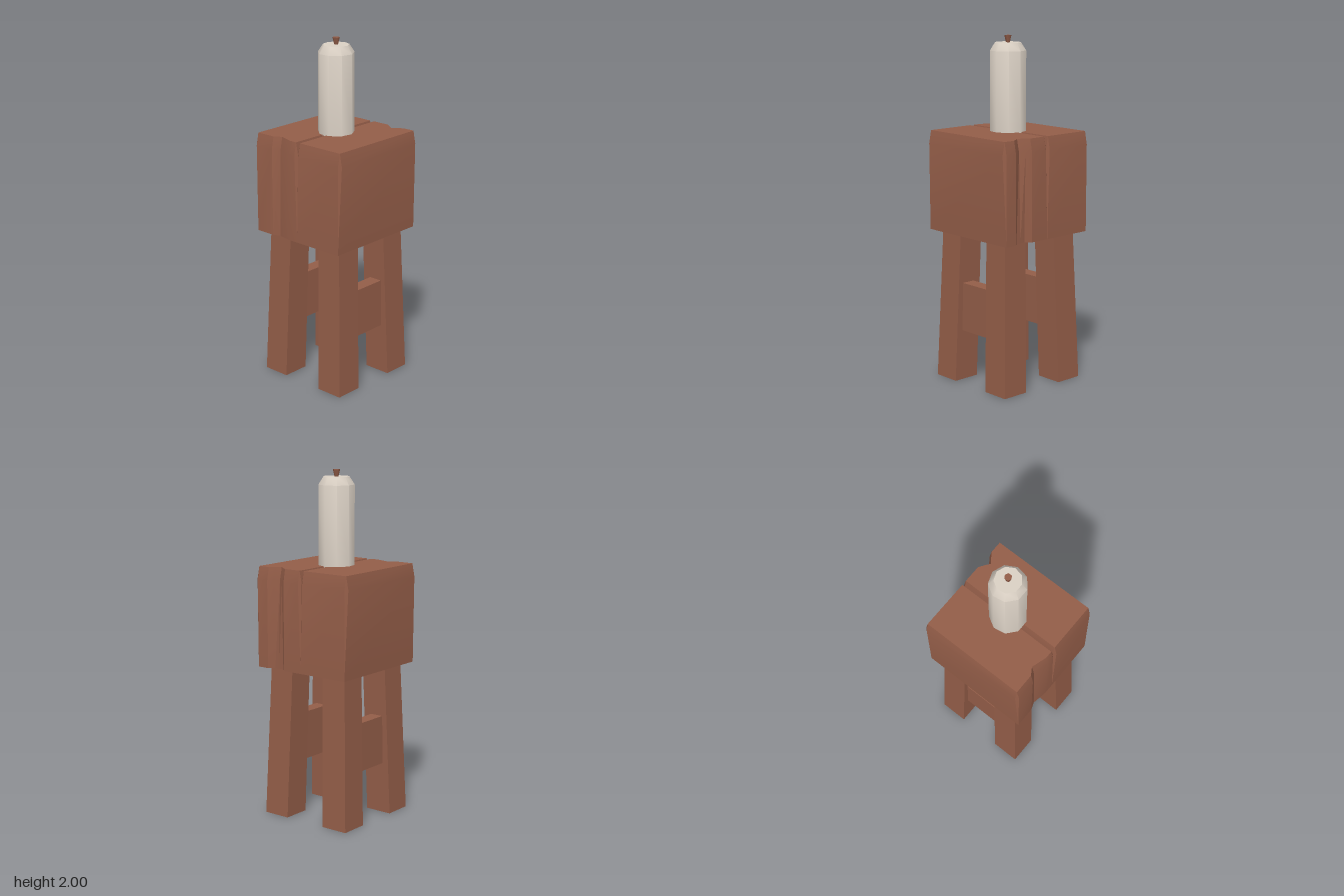
import * as THREE from 'three';
import { toCreasedNormals } from 'three/addons/utils/BufferGeometryUtils.js';

const wood = new THREE.MeshStandardMaterial({ color: 0x935d48 });
wood.name = 'brown wood';
const wax = new THREE.MeshStandardMaterial({ color: 0xdad0c4 });
wax.name = 'cream wax';

function part(name, geometry, material) {
  const mesh = new THREE.Mesh(geometry, material);
  mesh.name = name;
  return mesh;
}

// Solid through stacked rings of [x, z] points, closed at both ends
function loft(rings, heights) {
  const n = rings[0].length;
  const positions = rings.flatMap((ring, r) => ring.flatMap(([x, z]) => [x, heights[r], z]));
  const index = [];
  for (let r = 0; r < rings.length - 1; r++) {
    for (let i = 0; i < n; i++) {
      const a = r * n + i, b = r * n + (i + 1) % n;
      index.push(a, b, b + n, a, b + n, a + n);
    }
  }
  [0, rings.length - 1].forEach((r) => {
    const ring = rings[r];
    const outline = ring.map(([x, z]) => new THREE.Vector2(x, z));
    for (const [a, b, c] of THREE.ShapeUtils.triangulateShape(outline, [])) {
      const up = (ring[b][1] - ring[a][1]) * (ring[c][0] - ring[a][0])
        - (ring[b][0] - ring[a][0]) * (ring[c][1] - ring[a][1]) > 0;
      const o = r * n;
      if (up === (r > 0)) index.push(o + a, o + b, o + c);
      else index.push(o + a, o + c, o + b);
    }
  });
  const g = new THREE.BufferGeometry();
  g.setAttribute('position', new THREE.Float32BufferAttribute(positions, 3));
  g.setIndex(index);
  return toCreasedNormals(g, 0.45);
}

// Half of the seat block: chamfered top, tapering corner cuts, a chip in the front edge.
// Each notch row lists x and the z at the bottom, shoulder and top.
function blockHalf(name, notch) {
  const W = 0.325, C = 0.015;
  const ring = (level) => {
    const mid = level === 1, top = level === 2;
    const left = mid ? -W : -W + C;          // outer side
    const right = top ? -C : 0;              // side facing the split
    const z = top ? W - C : W;
    const cut = mid ? C : 0;
    return [
      [left, z - cut], [left + cut, z],
      ...notch.map((p) => [p[0], p[1 + level]]),
      [right - cut, z], [right, z - cut],
      [right, -z + cut], [right - cut, -z],
      [left + cut, -z], [left, -z + cut],
    ];
  };
  return part(name, loft([ring(0), ring(1), ring(2)], [0.88, 1.385, 1.46]), wood);
}

// Box leg leaning inward towards the top
function leg(sx, sz) {
  const g = new THREE.BoxGeometry(1, 1, 1);
  const p = g.attributes.position;
  for (let i = 0; i < p.count; i++) {
    const top = p.getY(i) > 0;
    const centre = top ? 0.187 : 0.212, size = top ? 0.155 : 0.164;
    p.setXYZ(i, sx * centre + p.getX(i) * size, top ? 0.885 : 0, sz * centre + p.getZ(i) * size);
  }
  g.computeVertexNormals();
  return part((sz > 0 ? 'front' : 'back') + (sx > 0 ? 'Left' : 'Right') + 'Leg', g, wood);
}

export function createModel() {
  const model = new THREE.Group();
  model.name = 'candleStool';

  // Split seat block; the second half is turned around
  model.add(blockHalf('rightSeatHalf', [
    [-0.19, 0.325, 0.325, 0.31],
    [-0.148, 0.31, 0.298, 0.283],
    [-0.06, 0.325, 0.325, 0.31],
  ]));
  const other = blockHalf('leftSeatHalf', [
    [-0.24, 0.325, 0.325, 0.31],
    [-0.21, 0.297, 0.305, 0.29],
    [-0.18, 0.297, 0.285, 0.268],
    [-0.15, 0.297, 0.305, 0.29],
    [-0.12, 0.325, 0.325, 0.31],
  ]);
  other.rotation.y = Math.PI;
  model.add(other);

  // Legs and side stretchers
  for (const sx of [-1, 1]) {
    for (const sz of [-1, 1]) model.add(leg(sx, sz));
    const stretcher = part(sx > 0 ? 'leftStretcher' : 'rightStretcher',
      new THREE.BoxGeometry(0.08, 0.285, 0.27), wood);
    stretcher.position.set(sx * 0.205, 0.4425, 0);
    model.add(stretcher);
  }

  // Nine-sided candle with a chamfered rim
  const profile = [[0, 1.455], [0.104, 1.455], [0.104, 1.915], [0.075, 1.96], [0, 1.96]]
    .map(([x, y]) => new THREE.Vector2(x, y));
  const candle = new THREE.LatheGeometry(profile, 9, Math.PI);
  model.add(part('candle', toCreasedNormals(candle, 0.75), wax));

  // Flared wick
  const wick = part('wick', new THREE.CylinderGeometry(0.021, 0.01, 0.045, 6), wood);
  wick.position.y = 1.9775;
  model.add(wick);

  return model;
}
